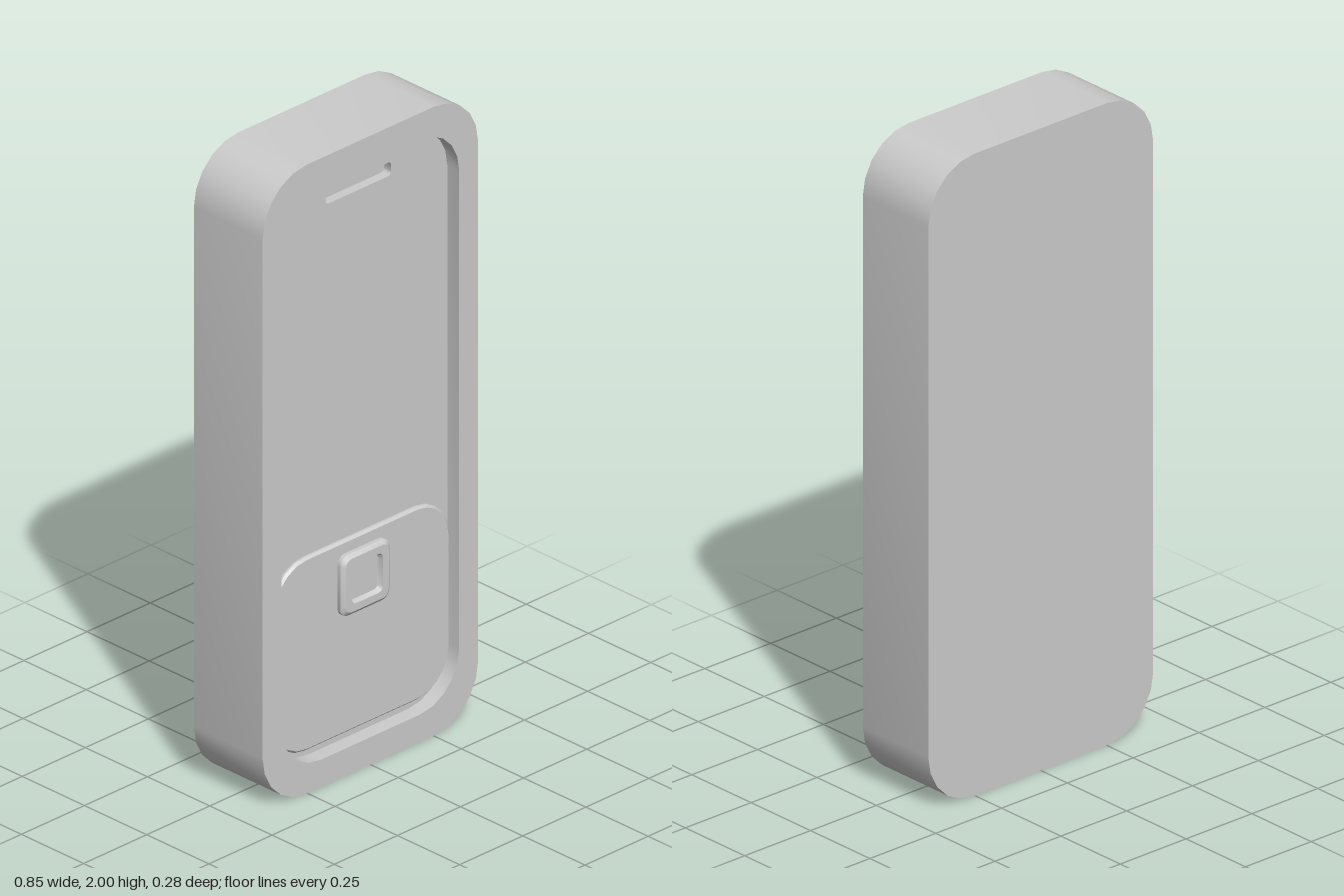
import * as THREE from 'three';
import { toCreasedNormals } from 'three/addons/utils/BufferGeometryUtils.js';

const CORNER_STEPS = 5;

// Rounded rectangle in the xy plane, counter-clockwise as seen from +z
function ring(halfW, bottom, top, radius, z) {
  const points = [];
  const corners = [[1, top - radius], [-1, top - radius], [-1, bottom + radius], [1, bottom + radius]];
  corners.forEach(([side, y], quarter) => {
    for (let i = 0; i <= CORNER_STEPS; i++) {
      const a = (quarter + i / CORNER_STEPS) * Math.PI / 2;
      points.push(new THREE.Vector3(
        side * (halfW - radius) + radius * Math.cos(a), y + radius * Math.sin(a), z));
    }
  });
  return points;
}

// Skin successive rings, then close the first and last
function loft(name, rings) {
  const positions = [];
  const tri = (...corners) => corners.forEach((p) => positions.push(p.x, p.y, p.z));
  const n = rings[0].length;
  const next = (i) => (i + 1) % n;
  for (let k = 0; k + 1 < rings.length; k++) {
    const a = rings[k], b = rings[k + 1];
    for (let i = 0; i < n; i++) {
      const j = next(i);
      tri(a[i], a[j], b[j]);
      tri(a[i], b[j], b[i]);
    }
  }
  const first = rings[0], last = rings[rings.length - 1];
  for (let i = 1; i < n - 1; i++) {
    tri(first[0], first[i + 1], first[i]);
    tri(last[0], last[i], last[i + 1]);
  }
  const geometry = new THREE.BufferGeometry();
  geometry.setAttribute('position', new THREE.Float32BufferAttribute(positions, 3));
  const mesh = new THREE.Mesh(
    toCreasedNormals(geometry, 0.6),
    new THREE.MeshStandardMaterial({ color: 0xcccccc }));
  mesh.name = name;
  return mesh;
}

export function createModel() {
  const model = new THREE.Group();
  model.name = 'phone';
  const back = -0.138, front = 0.138, floor = 0.09;

  // Casing: outer wall, rim, recessed face and earpiece slot
  model.add(loft('casing', [
    ring(0.427, 0, 2, 0.175, back),
    ring(0.427, 0, 2, 0.175, front),
    ring(0.352, 0.087, 1.915, 0.155, front),
    ring(0.352, 0.087, 1.915, 0.155, floor),
    ring(0.13, 1.81, 1.853, 0.012, floor),
    ring(0.13, 1.81, 1.853, 0.012, floor - 0.03),
  ]));

  // Raised lower panel with a bevelled edge
  const panel = floor + 0.014;
  model.add(loft('lowerPanel', [
    ring(0.35, 0.11, 0.724, 0.13, floor),
    ring(0.35, 0.11, 0.724, 0.13, panel - 0.007),
    ring(0.343, 0.117, 0.717, 0.123, panel),
  ]));

  // Square button: bevelled raised surround with a sunken centre
  const square = (half, radius, z) => ring(half, 0.587 - half, 0.587 + half, radius, z);
  model.add(loft('button', [
    square(0.097, 0.03, panel - 0.002),
    square(0.097, 0.03, panel + 0.012),
    square(0.085, 0.024, panel + 0.022),
    square(0.062, 0.018, panel + 0.022),
    square(0.056, 0.015, panel + 0.006),
  ]));

  return model;
}
